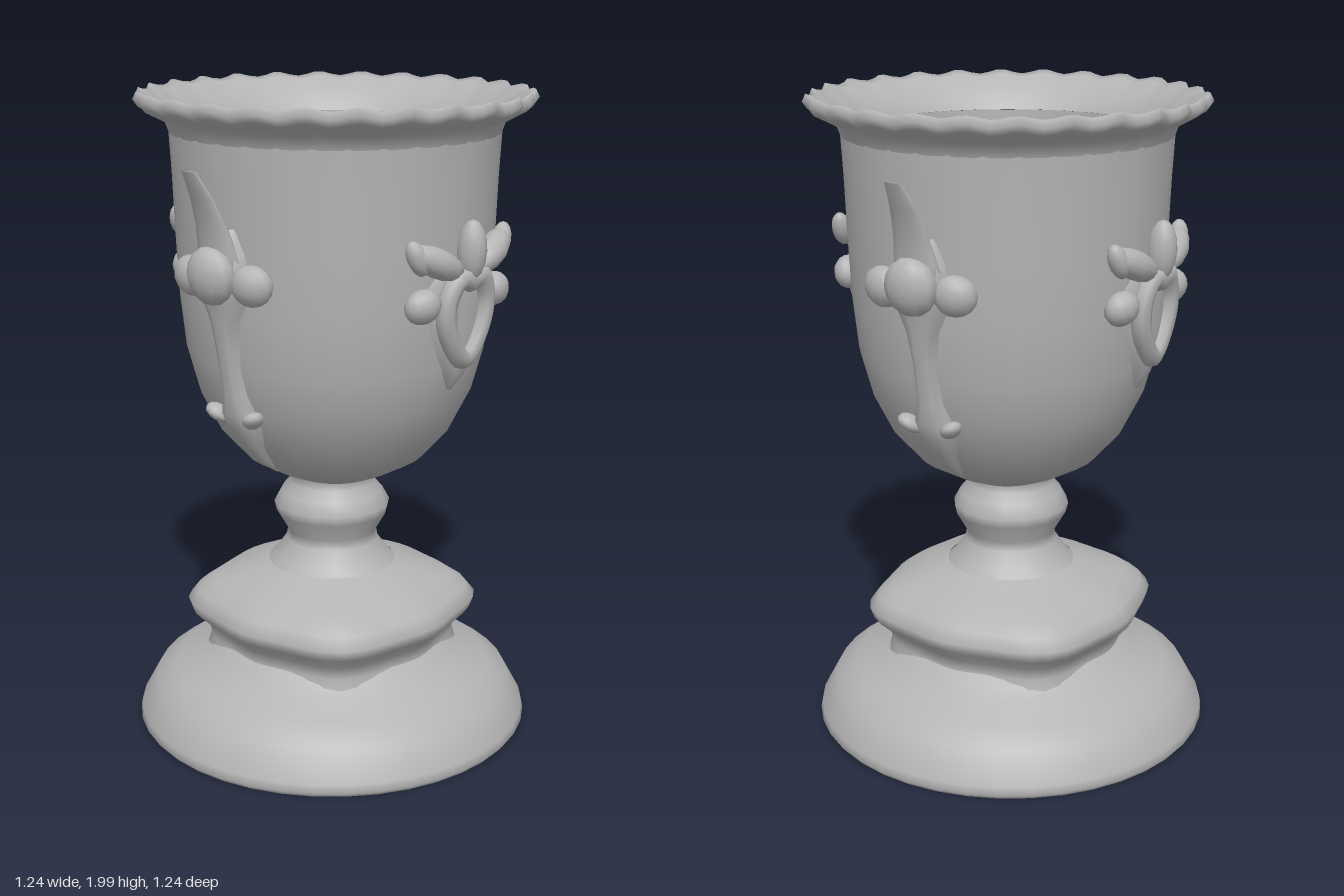
import * as THREE from 'three';
import { mergeVertices } from 'three/addons/utils/BufferGeometryUtils.js';

const stone = new THREE.MeshStandardMaterial({ color: 0xb4b4b4 });
stone.name = 'grey stone';

// outer bowl profile as [radius, height]
const BOWL = [[0.12, 0.8], [0.19, 0.83], [0.28, 0.88], [0.36, 0.97], [0.42, 1.09], [0.455, 1.22],
  [0.472, 1.38], [0.48, 1.55], [0.487, 1.75], [0.495, 1.9]];

function bowlRadius(y) {
  for (let i = 1; i < BOWL.length; i++) {
    const [r0, y0] = BOWL[i - 1], [r1, y1] = BOWL[i];
    if (y <= y1) return r0 + (r1 - r0) * Math.max(0, (y - y0) / (y1 - y0));
  }
  return 0.495;
}

// weld the vertices and shade smoothly
function smooth(geo) {
  geo.deleteAttribute('uv');
  geo.deleteAttribute('normal');
  const g = mergeVertices(geo, 1e-4);
  g.computeVertexNormals();
  return g;
}

function mesh(name, geo) {
  const m = new THREE.Mesh(geo, stone);
  m.name = name;
  return m;
}

// lathe whose points may be moved by warp(radius, y, angle) -> [radius, y]
function turned(name, pts, segments, warp) {
  const geo = new THREE.LatheGeometry(pts.map(p => new THREE.Vector2(...p)), segments);
  const p = geo.attributes.position;
  if (warp) for (let i = 0; i < p.count; i++) {
    const a = Math.atan2(p.getX(i), p.getZ(i));
    const [r, y] = warp(Math.hypot(p.getX(i), p.getZ(i)), p.getY(i), a);
    p.setXYZ(i, r * Math.sin(a), y, r * Math.cos(a));
  }
  return mesh(name, smooth(geo));
}

// bend a flat ornament (x across, y up, z out) round the bowl, centred on +z
function wrap(name, geo) {
  const p = geo.attributes.position;
  for (let i = 0; i < p.count; i++) {
    const y = p.getY(i), a = p.getX(i) / 0.48, r = bowlRadius(y) + p.getZ(i);
    p.setXYZ(i, r * Math.sin(a), y, r * Math.cos(a));
  }
  return mesh(name, smooth(geo));
}

// rounded lump of the given half sizes
function lobe(name, x, y, z, w, h, d, tilt = 0) {
  const geo = new THREE.SphereGeometry(1, 12, 8).scale(w, h, d).rotateZ(tilt).translate(x, y, z);
  return wrap(name, geo);
}

// pillow-shaped strip from rows of [height, half width, thickness]
function relief(name, rows) {
  const geo = new THREE.PlaneGeometry(2, 1, 8, rows.length - 1);
  const p = geo.attributes.position;
  for (let i = 0; i < p.count; i++) {
    const [y, w, d] = rows[Math.floor(i / 9)], u = p.getX(i);
    p.setXYZ(i, u * w, y, d * (1 - u ** 4) - 0.012);
  }
  return wrap(name, geo);
}

function makeCross() {
  const g = new THREE.Group();
  g.name = 'crossOrnament';
  g.add(relief('crossShaft', [[1.64, 0.05, 0.03], [1.57, 0.085, 0.06], [1.5, 0.1, 0.075], [1.43, 0.085, 0.06],
    [1.37, 0.055, 0.05], [1.28, 0.042, 0.045], [1.15, 0.048, 0.045], [1.09, 0.075, 0.055], [1.04, 0.075, 0.06],
    [0.98, 0.055, 0.05], [0.92, 0.035, 0.045], [0.87, 0.008, 0.02]]));
  // spike leaning away from the wall
  const spike = new THREE.CylinderGeometry(0.022, 0.085, 0.32, 12, 4).scale(1, 1, 0.45);
  const p = spike.attributes.position;
  for (let i = 0; i < p.count; i++) {
    const t = p.getY(i) / 0.32 + 0.5;
    p.setZ(i, p.getZ(i) + 0.015 + 0.1 * t * t);
  }
  g.add(wrap('crossSpike', spike.translate(0, 1.65, 0)));
  g.add(lobe('crossBoss', 0, 1.51, 0.05, 0.075, 0.085, 0.055));
  for (const s of [-1, 1]) {
    g.add(lobe('crossArm', s * 0.115, 1.49, 0.025, 0.062, 0.06, 0.045, s * 0.4));
    g.add(lobe('crossFootLeaf', s * 0.075, 1.08, 0.03, 0.04, 0.025, 0.035, s * 0.6));
  }
  return g;
}

function makeEmblem() {
  const g = new THREE.Group();
  g.name = 'leafOrnament';
  g.add(relief('emblemBody', [[1.53, 0.1, 0.025], [1.47, 0.15, 0.035], [1.4, 0.15, 0.035], [1.33, 0.125, 0.04],
    [1.26, 0.085, 0.045], [1.2, 0.045, 0.04], [1.15, 0.008, 0.02]]));
  // raised border round the hollow middle
  const loop = [[0, 1.25], [0.075, 1.34], [0.085, 1.43], [0.04, 1.5], [0, 1.48], [-0.04, 1.5], [-0.085, 1.43],
    [-0.075, 1.34]].map(([x, y]) => new THREE.Vector3(x, y, 0.03));
  g.add(wrap('emblemBorder', new THREE.TubeGeometry(new THREE.CatmullRomCurve3(loop, true), 40, 0.03, 8, true)));
  g.add(lobe('emblemTopLeaf', 0, 1.57, 0.03, 0.038, 0.09, 0.045));
  for (const s of [-1, 1]) {
    g.add(lobe('emblemUpperLeaf', s * 0.125, 1.55, 0.025, 0.1, 0.042, 0.045, s * 0.45));
    g.add(lobe('emblemLeafTip', s * 0.19, 1.57, 0.03, 0.028, 0.055, 0.03, -s * 0.4));
    g.add(lobe('emblemSideCurl', s * 0.165, 1.43, 0.025, 0.055, 0.05, 0.045, -s * 0.5));
  }
  return g;
}

export function createModel() {
  const model = new THREE.Group();
  model.name = 'goblet';

  // foot: flared skirt with a soft edge, and a flat underside
  model.add(turned('foot', [[0.61, 0], [0.622, 0.015], [0.617, 0.04], [0.595, 0.08], [0.565, 0.135], [0.5, 0.18],
    [0.42, 0.215], [0.385, 0.25], [0.34, 0.28]], 40));
  const underside = mesh('underside', new THREE.CircleGeometry(0.61, 40));
  underside.rotation.x = Math.PI / 2;
  model.add(underside);

  // lobed collar above the foot
  model.add(turned('collar', [[0.38, 0.22], [0.365, 0.27], [0.372, 0.31], [0.42, 0.355], [0.432, 0.39],
    [0.405, 0.425], [0.355, 0.46], [0.27, 0.49], [0.2, 0.52]], 48, (r, y, a) => {
    const k = Math.min(1, Math.max(0, (r - 0.2) / 0.15));
    return [r * (1 + k * (0.045 * Math.cos(4 * a) + 0.02 * Math.cos(8 * a))), y];
  }));

  // stem with a knop
  model.add(turned('stem', [[0.22, 0.5], [0.18, 0.54], [0.145, 0.59], [0.14, 0.62], [0.175, 0.68], [0.182, 0.71],
    [0.16, 0.75], [0.135, 0.78], [0.13, 0.81], [0.15, 0.84]], 16));

  const cup = new THREE.Group();
  cup.name = 'cup';
  cup.position.x = 0.01;
  model.add(cup);

  // bowl wall and hollow inside
  cup.add(turned('bowlOutside', BOWL, 32));
  cup.add(turned('bowlInside', [[0.455, 1.88], [0.45, 1.7], [0.445, 1.5], [0.435, 1.32], [0.405, 1.15],
    [0.35, 1.02], [0.26, 0.93], [0.14, 0.885], [0, 0.87]], 32));

  // flared rim with a scalloped edge
  cup.add(turned('rim', [[0.492, 1.87], [0.505, 1.905], [0.54, 1.925], [0.575, 1.945], [0.588, 1.965],
    [0.578, 1.988], [0.555, 1.978], [0.51, 1.945], [0.47, 1.91], [0.455, 1.88]], 130, (r, y, a) => {
    const k = Math.max(0, (r - 0.5) / 0.09);
    const wave = Math.cos(26 * a) + 0.35 * Math.sin(9 * a);
    return [r + k * 0.011 * wave, y + k * 0.007 * Math.sin(26 * a + 0.8)];
  }));

  // two leaf emblems and two crosses on alternate diagonals
  for (let i = 0; i < 4; i++) {
    const ornament = i % 2 ? makeCross() : makeEmblem();
    ornament.rotation.y = Math.PI / 4 + i * Math.PI / 2;
    cup.add(ornament);
  }
  return model;
}
